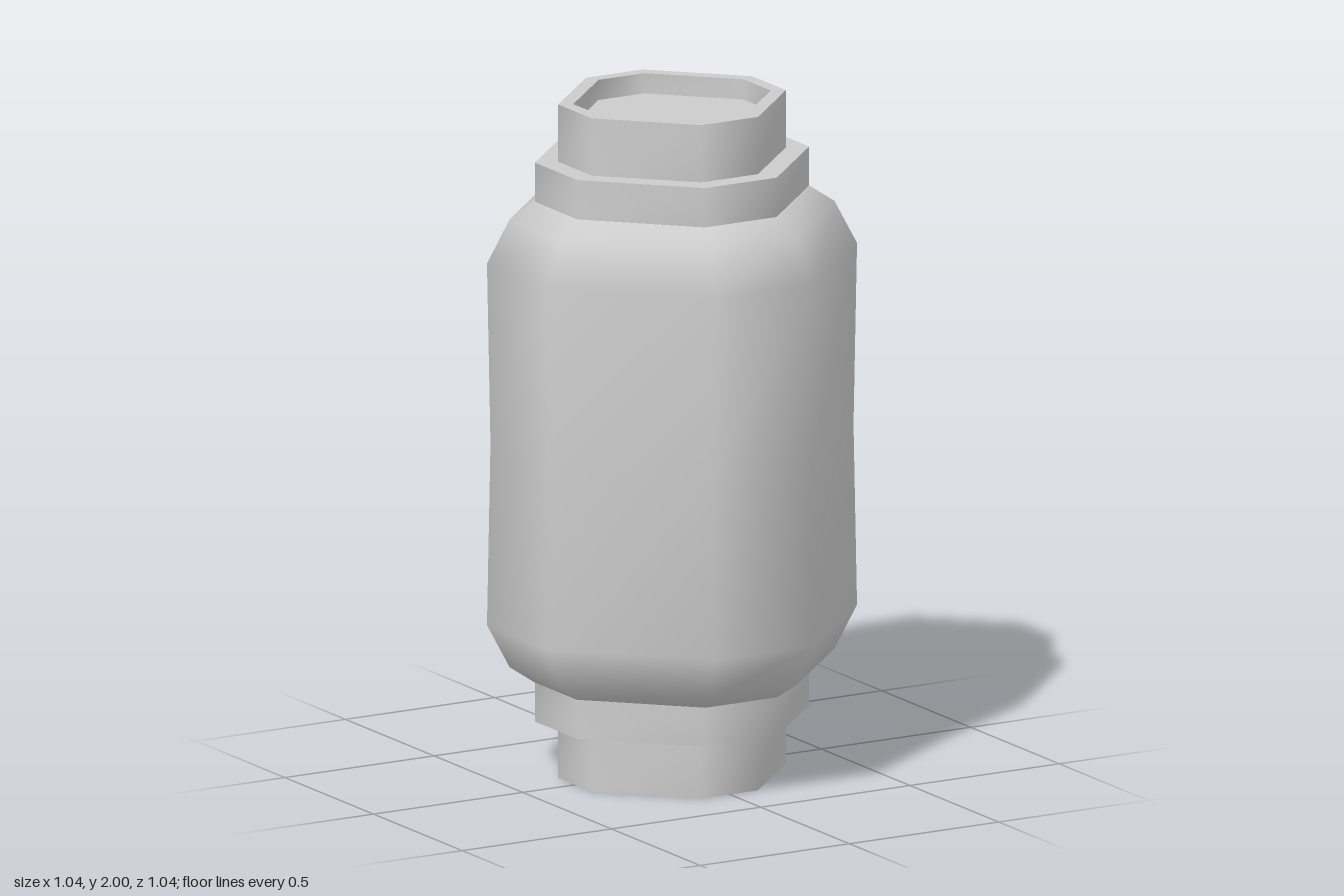
import * as THREE from 'three';
import { mergeGeometries } from 'three/addons/utils/BufferGeometryUtils.js';

// Chamfered-square ring: half width w, half length of each flat side c
function ringPoints(w, c, y) {
  return [[w, -c], [w, c], [c, w], [-c, w], [-w, c], [-w, -c], [-c, -w], [c, -w]]
    .flatMap(([x, z]) => [x, y, z]);
}

// Smooth skin through a list of [w, c, y] rings, running up the outside
function loft(rings) {
  const index = [];
  for (let i = 0; i < rings.length - 1; i++) {
    for (let j = 0; j < 8; j++) {
      const a = i * 8 + j, b = i * 8 + (j + 1) % 8;
      index.push(a, a + 8, b, b, a + 8, b + 8);
    }
  }
  const g = new THREE.BufferGeometry();
  g.setAttribute('position', new THREE.Float32BufferAttribute(rings.flatMap(r => ringPoints(...r)), 3));
  g.setIndex(index);
  g.computeVertexNormals();
  return g;
}

// Each step between rings is its own band, so the rims stay sharp
function stepped(rings) {
  return mergeGeometries(rings.slice(1).map((r, i) => loft([rings[i], r])));
}

export function createModel() {
  const group = new THREE.Group();
  const material = new THREE.MeshStandardMaterial({ color: 0xcccccc });
  const add = (parent, name, geometry) => {
    const mesh = new THREE.Mesh(geometry, material);
    mesh.name = name;
    parent.add(mesh);
  };

  // Rounded canister, slightly waisted in the middle
  add(group, 'body', loft([
    [0.39, 0.12, 0.287], [0.458, 0.145, 0.335], [0.52, 0.168, 0.463],
    [0.51, 0.165, 1],
    [0.52, 0.168, 1.537], [0.458, 0.145, 1.665], [0.39, 0.12, 1.713],
  ]));

  // Identical stepped fittings at both ends, heights measured from the middle
  const collar = stepped([[0.388, 0.12, 0.713], [0.388, 0.12, 0.83], [0.325, 0.095, 0.83]]);
  const neck = stepped([
    [0.325, 0.095, 0.83], [0.325, 0.095, 1], [0.285, 0.077, 1],
    [0.285, 0.077, 0.94], [0, 0, 0.94],
  ]);
  for (const [name, turn] of [['topFitting', 0], ['bottomFitting', Math.PI]]) {
    const fitting = new THREE.Group();
    fitting.name = name;
    add(fitting, 'collar', collar);
    add(fitting, 'recessedNeck', neck);
    fitting.position.y = 1;
    fitting.rotation.x = turn;
    group.add(fitting);
  }
  return group;
}
